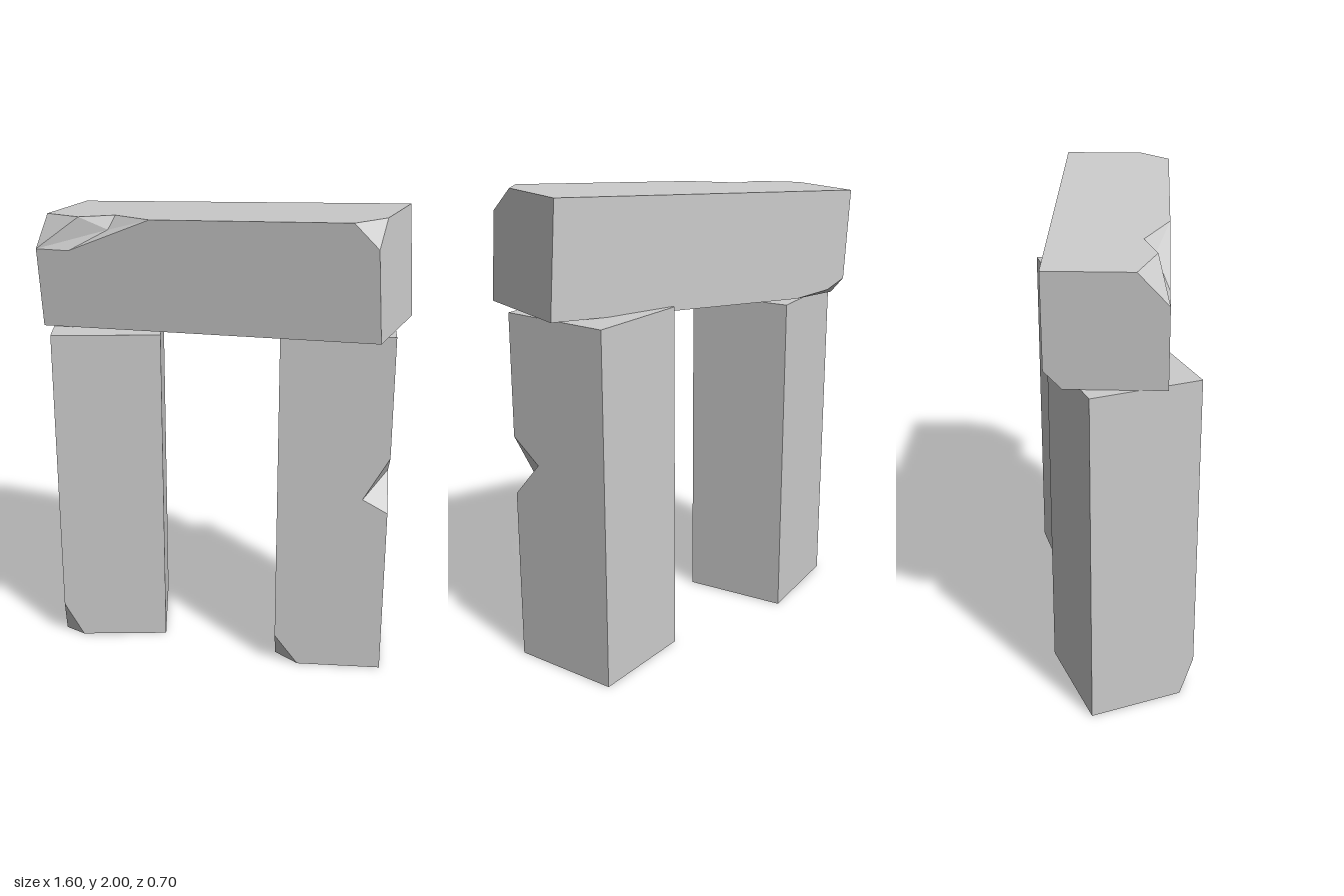
import * as THREE from 'three';

const material = new THREE.MeshStandardMaterial({ color: 0xcccccc, flatShading: true });

// A chipped block: points are fractions (right, up, forward) of a skewed box frame,
// faces are strings of point letters, counter-clockwise from outside.
function stone(name, origin, right, up, forward, points, faces) {
  const frame = new THREE.Matrix4().makeBasis(
    new THREE.Vector3(...right), new THREE.Vector3(...up), new THREE.Vector3(...forward)
  ).setPosition(...origin);
  const positions = [];
  for (const face of faces) {
    const loop = [...face].map(k => new THREE.Vector3(...points[k]).applyMatrix4(frame));
    // Summed cross products give the outward normal, even for concave faces
    const normal = new THREE.Vector3();
    loop.forEach((p, i) => normal.add(p.clone().cross(loop[(i + 1) % loop.length])));
    normal.normalize();
    const s = loop[1].clone().sub(loop[0]).normalize();
    const t = normal.clone().cross(s);
    const flat = loop.map(p => new THREE.Vector2(p.dot(s), p.dot(t)));
    for (const tri of THREE.ShapeUtils.triangulateShape(flat, [])) {
      const [a, b, c] = tri.map(i => loop[i]);
      const facing = b.clone().sub(a).cross(c.clone().sub(a)).dot(normal);
      for (const p of facing > 0 ? [a, b, c] : [a, c, b]) positions.push(p.x, p.y, p.z);
    }
  }
  const geometry = new THREE.BufferGeometry();
  geometry.setAttribute('position', new THREE.Float32BufferAttribute(positions, 3));
  geometry.computeVertexNormals();
  const mesh = new THREE.Mesh(geometry, material);
  mesh.name = name;
  return mesh;
}

// Box corners: A-D around the base, E-H around the top, starting at back left
const corners = {
  A: [0, 0, 0], B: [1, 0, 0], C: [1, 0, 1], D: [0, 0, 1],
  E: [0, 1, 0], F: [1, 1, 0], G: [1, 1, 1], H: [0, 1, 1],
};

// Upright with its front base corner broken off (p, q, r), optionally notched on an edge
function upright(name, origin, right, height, forward, chip, notch) {
  const points = {
    ...corners, ...notch,
    p: [chip[0], 0, 1], q: [0, 0, 1 - chip[2]], r: [0, chip[1], 1],
  };
  const faces = ['ABCpq', 'HGFE', 'BAEF', 'AqrHE', 'qpr'];
  if (notch) faces.push('pCbmtGHr', 'CBFGtnb', 'tmn', 'bnm');
  else faces.push('pCGHr', 'CBFG');
  return stone(name, origin, right, [0, height, 0], forward, points, faces);
}

export function createModel() {
  const group = new THREE.Group();
  group.name = 'stoneArch';

  group.add(upright('rightUpright', [-0.8, 0, -0.19], [0.45, 0, -0.12], 1.445,
    [0.12, 0, 0.445], [0.18, 0.11, 0.13]));

  // Notch: t and b on the edge, m on the front, n on the side
  group.add(upright('leftUpright', [0.24, 0, -0.21], [0.46, 0, -0.07], 1.52,
    [0.07, 0, 0.47], [0.22, 0.09, 0.18], {
      t: [1, 0.658, 1], b: [1, 0.493, 1], m: [0.77, 0.533, 1], n: [1, 0.592, 0.73],
    }));

  group.add(stone('lintel', [-0.69, 1.445, -0.35], [1.49, 0.09, 0.24],
    [-0.03, 0.465, -0.005], [-0.075, 0, 0.46], {
      ...corners,
      // Small chip on the front top corner
      i: [0.936, 1, 1], j: [1, 1, 0.73], k: [1, 0.785, 1],
      // Long broken edge on the other front top corner
      l: [0, 1, 0.74], P: [0.129, 1, 0.9], Q: [0.227, 1, 0.784], T: [0.365, 1, 1],
      f: [0.105, 0.71, 1], V: [0, 0.72, 1], R: [0.215, 0.884, 0.877],
      // Chip under the back corner
      d: [0.18, 0, 0], K: [0.06, 0.06, 0], v: [0, 0.16, 0], L: [0, 0, 0.15],
    }, [
      'dBCDL', 'lPQTijFE', 'DCkiTfV', 'BdKvEF', 'LDVlEv', 'CBFjk',
      'kji',
      'lVP', 'VRP', 'VfR', 'fTR', 'RTQ', 'QPR',
      'dLK', 'KLv',
    ]));

  return group;
}
